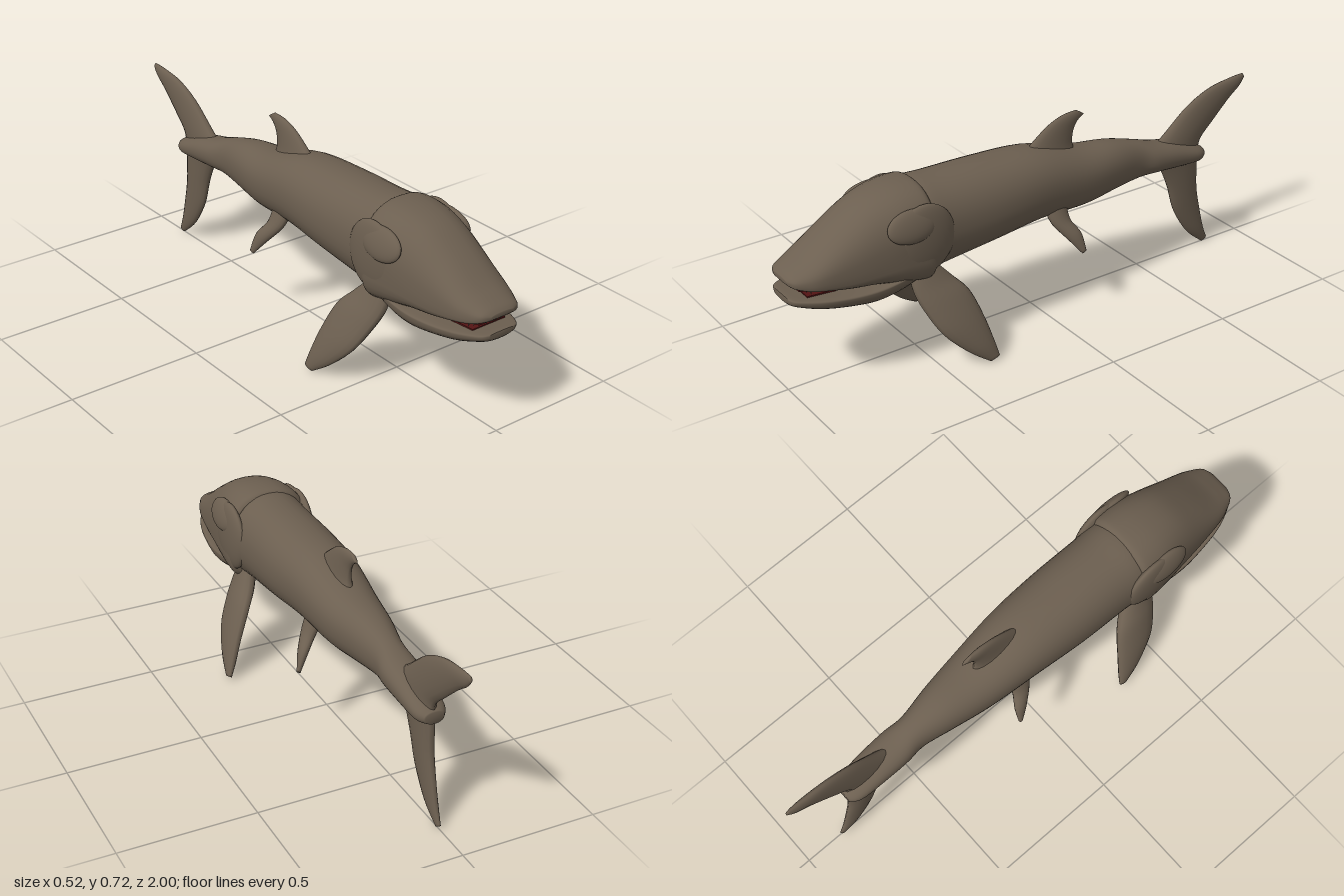
import * as THREE from 'three';

const skin = new THREE.MeshStandardMaterial({ color: 0x6c5f50 });
skin.name = 'brown skin';
const red = new THREE.MeshStandardMaterial({ color: 0x551414 });
red.name = 'dark red mouth';

// Catmull-Rom resampling of rows of numbers
function smoothRows(rows, steps) {
  const out = [];
  const at = i => rows[Math.min(Math.max(i, 0), rows.length - 1)];
  for (let i = 0; i < rows.length - 1; i++) {
    for (let s = 0; s < steps; s++) {
      const t = s / steps;
      out.push(rows[i].map((b, k) => {
        const a = at(i - 1)[k], c = at(i + 1)[k], d = at(i + 2)[k];
        return b + 0.5 * t * (c - a + t * (2 * a - 5 * b + 4 * c - d + t * (3 * (b - c) + d - a)));
      }));
    }
  }
  out.push(rows[rows.length - 1]);
  return out;
}

// Closed skin over rings of points, capped at both ends and facing outward
function loft(rings) {
  const n = rings[0].length, m = rings.length, idx = [];
  const pts = rings.flat();
  for (let i = 0; i < m - 1; i++) {
    for (let j = 0; j < n; j++) {
      const k = (j + 1) % n;
      const a = i * n + j, b = i * n + k, c = a + n, d = b + n;
      idx.push(a, c, b, b, c, d);
    }
  }
  const mid = ring => ring.reduce((s, p) => s.add(p), new THREE.Vector3()).divideScalar(n);
  pts.push(mid(rings[0]), mid(rings[m - 1]));
  for (let j = 0; j < n; j++) {
    const k = (j + 1) % n, e = (m - 1) * n;
    idx.push(m * n, j, k, m * n + 1, e + k, e + j);
  }
  let volume = 0;
  for (let i = 0; i < idx.length; i += 3) {
    volume += pts[idx[i]].dot(pts[idx[i + 1]].clone().cross(pts[idx[i + 2]]));
  }
  if (volume < 0) idx.reverse();
  const g = new THREE.BufferGeometry().setFromPoints(pts);
  g.setIndex(idx);
  g.computeVertexNormals();
  return g;
}

// Rows: z, top, bottom, height of widest point, half width
function bodyLoft(rows, upper, lower) {
  const n = 36;
  const pow = (v, e) => Math.sign(v) * Math.pow(Math.abs(v), 2 / e);
  return loft(smoothRows(rows, 5).map(([z, top, bot, cy, hw]) =>
    Array.from({ length: n }, (_, j) => {
      const a = j / n * Math.PI * 2, c = Math.cos(a), s = Math.sin(a);
      const e = s >= 0 ? upper : lower;
      return new THREE.Vector3(hw * pow(c, e), cy + pow(s, e) * (s >= 0 ? top - cy : cy - bot), z);
    })));
}

// Rows: leading z, y, trailing z, y, x, half thickness
function finLoft(rows, side = 1, normal = [1, 0]) {
  const n = 16;
  return loft(smoothRows(rows, 5).map(([lz, ly, tz, ty, x, t]) =>
    Array.from({ length: n }, (_, j) => {
      const a = j / n * Math.PI * 2, c = Math.cos(a) / 2, s = Math.sin(a) * t;
      return new THREE.Vector3(
        side * (x + s * normal[0]),
        (ly + ty) / 2 + c * (ly - ty) + s * normal[1],
        (lz + tz) / 2 + c * (lz - tz));
    })));
}

export function createModel() {
  const model = new THREE.Group();
  model.name = 'fish';
  const add = (name, geo, mat = skin, parent = model) => {
    const mesh = new THREE.Mesh(geo, mat);
    mesh.name = name;
    parent.add(mesh);
    return mesh;
  };

  // Trunk narrowing to the tail root
  add('trunk', bodyLoft([
    [0.62, 0.64, 0.34, 0.48, 0.14], [0.5, 0.662, 0.325, 0.48, 0.155],
    [0.4, 0.66, 0.333, 0.49, 0.15], [0.2, 0.656, 0.355, 0.5, 0.147],
    [0, 0.643, 0.373, 0.51, 0.133], [-0.2, 0.592, 0.367, 0.485, 0.11],
    [-0.35, 0.573, 0.382, 0.48, 0.085], [-0.47, 0.542, 0.392, 0.465, 0.062],
    [-0.55, 0.515, 0.393, 0.455, 0.068], [-0.65, 0.49, 0.388, 0.44, 0.066],
    [-0.75, 0.455, 0.385, 0.42, 0.058], [-0.79, 0.435, 0.392, 0.415, 0.035]], 2.2, 2.2));

  // Head shield with the upper jaw, stepping down onto the trunk
  add('head', bodyLoft([
    [1, 0.452, 0.437, 0.445, 0.045], [0.985, 0.466, 0.425, 0.442, 0.078],
    [0.95, 0.486, 0.412, 0.435, 0.1], [0.9, 0.515, 0.4, 0.435, 0.118],
    [0.8, 0.585, 0.38, 0.44, 0.135], [0.7, 0.643, 0.365, 0.46, 0.15],
    [0.6, 0.669, 0.34, 0.49, 0.163], [0.51, 0.672, 0.325, 0.49, 0.166],
    [0.485, 0.658, 0.34, 0.49, 0.152]], 2.4, 4));

  add('lowerJaw', bodyLoft([
    [1, 0.385, 0.362, 0.375, 0.05], [0.98, 0.385, 0.348, 0.376, 0.082],
    [0.9, 0.378, 0.32, 0.368, 0.118], [0.8, 0.37, 0.299, 0.36, 0.137],
    [0.7, 0.37, 0.287, 0.36, 0.147], [0.6, 0.38, 0.301, 0.37, 0.143],
    [0.5, 0.4, 0.335, 0.375, 0.12]], 4, 2.2));

  // Red mouth lining and fine teeth
  const palate = add('palate', new THREE.BoxGeometry(0.14, 0.008, 0.15), red);
  palate.position.set(0, 0.398, 0.895);
  palate.rotation.x = -0.25;
  const floor = add('mouthFloor', new THREE.BoxGeometry(0.14, 0.006, 0.12), red);
  floor.position.set(0, 0.378, 0.88);
  floor.rotation.x = -0.07;
  const teeth = new THREE.Group();
  teeth.name = 'teeth';
  model.add(teeth);
  const toothGeo = new THREE.ConeGeometry(0.004, 0.014, 5);
  for (let i = -7; i <= 7; i++) {
    const x = i * 0.011, z = 0.97 - 7 * x * x;
    const tooth = add('tooth', toothGeo, skin, teeth);
    tooth.position.set(x, 0.412 - (0.97 - z) * 0.3, z);
    tooth.rotation.x = Math.PI;
  }

  // Vertical fins
  add('dorsalFin', finLoft([
    [0.04, 0.61, -0.2, 0.57, 0, 0.035], [0, 0.645, -0.185, 0.61, 0, 0.026],
    [-0.075, 0.7, -0.187, 0.655, 0, 0.018], [-0.14, 0.726, -0.205, 0.69, 0, 0.013],
    [-0.2, 0.732, -0.235, 0.71, 0, 0.006]]));
  add('upperTailLobe', finLoft([
    [-0.54, 0.47, -0.78, 0.4, 0, 0.032], [-0.61, 0.52, -0.79, 0.465, 0, 0.03],
    [-0.72, 0.61, -0.85, 0.525, 0, 0.024], [-0.825, 0.66, -0.925, 0.595, 0, 0.018],
    [-0.93, 0.678, -0.975, 0.635, 0, 0.013], [-0.99, 0.683, -0.999, 0.665, 0, 0.005]]));
  add('lowerTailLobe', finLoft([
    [-0.56, 0.44, -0.78, 0.43, 0, 0.034], [-0.6, 0.385, -0.78, 0.37, 0, 0.03],
    [-0.64, 0.3, -0.785, 0.26, 0, 0.026], [-0.675, 0.19, -0.81, 0.15, 0, 0.021],
    [-0.745, 0.08, -0.83, 0.075, 0, 0.016], [-0.825, 0.01, -0.85, 0.025, 0, 0.007]]));

  // Paired fins and cheek plates
  for (const side of [1, -1]) {
    const label = side > 0 ? 'left' : 'right';
    add(label + 'PectoralFin', finLoft([
      [0.56, 0.37, 0.46, 0.37, 0.085, 0.032], [0.565, 0.3, 0.41, 0.315, 0.115, 0.034],
      [0.545, 0.23, 0.365, 0.26, 0.155, 0.032], [0.5, 0.145, 0.335, 0.165, 0.2, 0.028],
      [0.42, 0.065, 0.317, 0.08, 0.232, 0.022], [0.345, 0.012, 0.308, 0.025, 0.252, 0.01]],
    side, [0.85, 0.5]));
    add(label + 'PelvicFin', finLoft([
      [-0.01, 0.42, -0.1, 0.42, 0.08, 0.025], [-0.025, 0.37, -0.1, 0.37, 0.105, 0.022],
      [-0.07, 0.31, -0.122, 0.325, 0.142, 0.018], [-0.112, 0.255, -0.127, 0.265, 0.168, 0.008]],
    side, [0.85, 0.5]));

    const gill = add(label + 'GillCover', new THREE.SphereGeometry(1, 28, 18));
    gill.scale.set(0.03, 0.13, 0.12);
    gill.position.set(side * 0.14, 0.5, 0.53);
    const cheek = add(label + 'CheekPlate', new THREE.SphereGeometry(1, 28, 18));
    cheek.scale.set(0.022, 0.058, 0.095);
    cheek.position.set(side * 0.15, 0.568, 0.58);
    cheek.rotation.z = side * 0.3;
  }
  return model;
}
